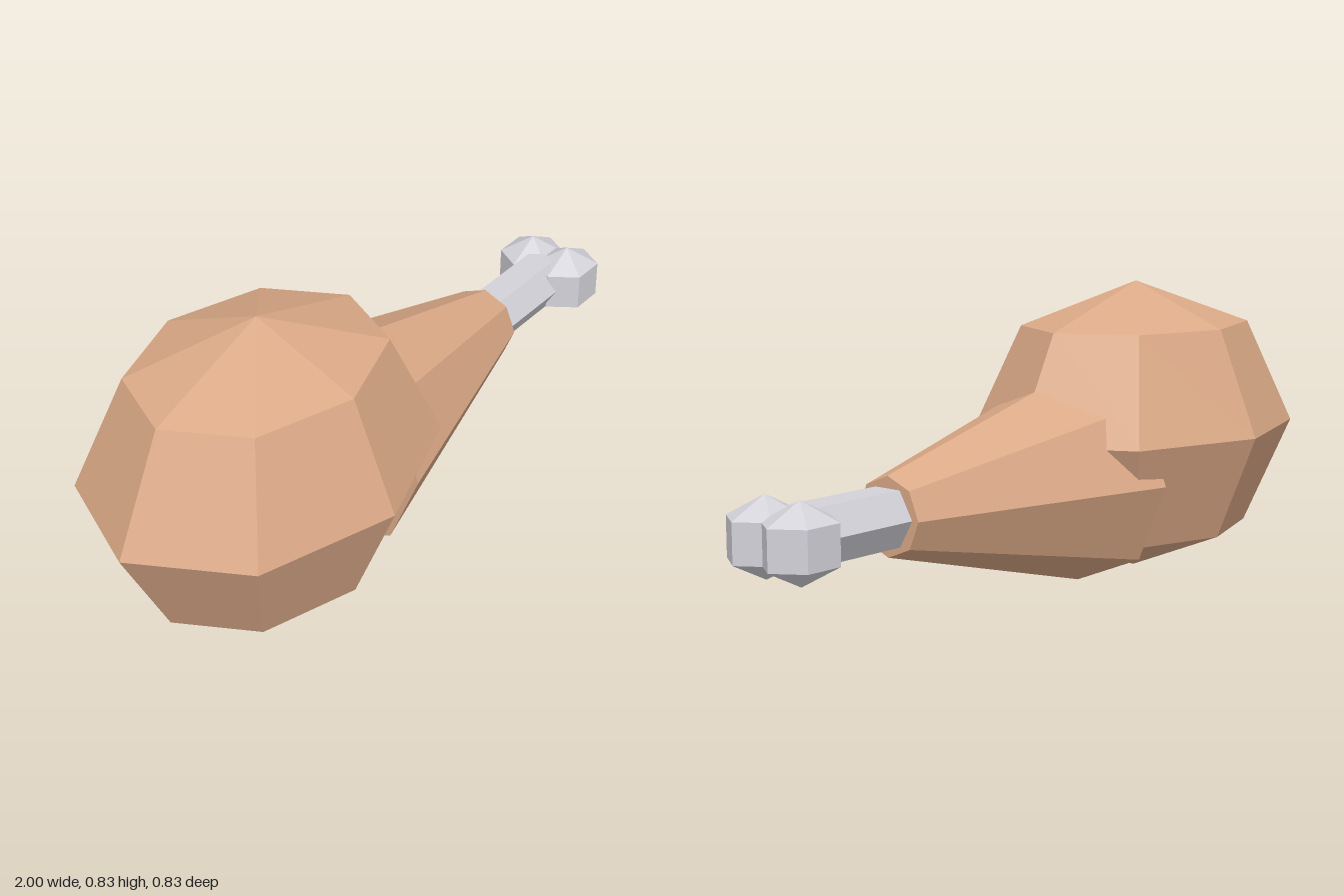
import * as THREE from 'three';

export function createModel() {
  const group = new THREE.Group();
  const material = (name, color) => {
    const m = new THREE.MeshStandardMaterial({ color, flatShading: true });
    m.name = name;
    return m;
  };
  const meat = material('roast brown', 0xdba987);
  const bone = material('bone grey', 0xd3d2d9);

  const add = (name, geometry, mat, x, y, z = 0) => {
    const mesh = new THREE.Mesh(geometry, mat);
    mesh.name = name;
    mesh.position.set(x, y, z);
    group.add(mesh);
    return mesh;
  };

  // Tapered prism running along x from x0 to x1
  const shaft = (name, mat, x0, x1, r0, r1, sides) =>
    add(name, new THREE.CylinderGeometry(r1, r0, x1 - x0, sides).rotateZ(-Math.PI / 2),
      mat, (x0 + x1) / 2, 0.303);

  // Thick faceted meat, stretched along x
  add('meatBulb', new THREE.SphereGeometry(1, 8, 4).scale(0.525, 0.414, 0.414),
    meat, -0.475, 0.414);

  // Meat tapering toward the bone
  shaft('meatTaper', meat, -0.215, 0.545, 0.301, 0.104, 8);

  // Bone shaft and its two knobs
  shaft('boneShaft', bone, 0.5, 0.87, 0.083, 0.083, 6);
  for (const side of [1, -1]) {
    add(side > 0 ? 'frontKnob' : 'backKnob',
      new THREE.SphereGeometry(1, 6, 3).scale(0.12, 0.104, 0.106),
      bone, 0.896, 0.303, side * 0.06);
  }
  return group;
}
